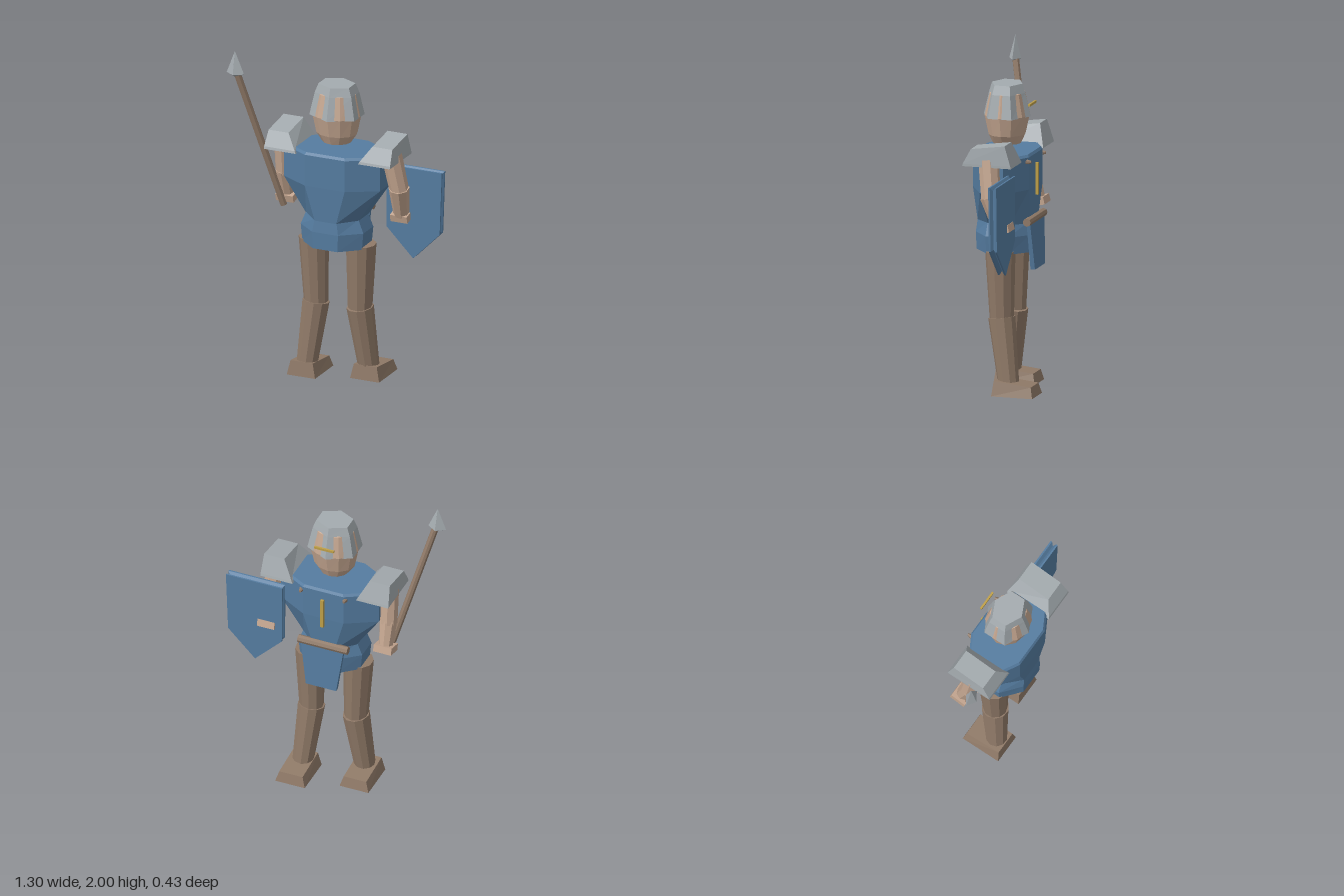
import * as THREE from 'three';

const mat = (name, color) => {
  const m = new THREE.MeshStandardMaterial({ color, flatShading: true });
  m.name = name;
  return m;
};

export function createModel() {
  const model = new THREE.Group();
  const skin = mat('skin', 0xc4a690);
  const leather = mat('leather', 0x907a68);
  const steel = mat('steel', 0xa4abaf);
  const blue = mat('blue cloth', 0x557ca0);
  const gold = mat('gold', 0xbfa048);

  const add = (name, geometry, material, x = 0, y = 0, z = 0) => {
    const mesh = new THREE.Mesh(geometry, material);
    mesh.name = name;
    mesh.position.set(x, y, z);
    model.add(mesh);
    return mesh;
  };

  // Closed flat-faced skin over rings of [x, y, z] points
  const loft = (rings) => {
    const pos = [];
    const tri = (...pts) => pts.forEach((p) => pos.push(...p));
    const n = rings[0].length;
    const centre = (ring) => [0, 1, 2].map((k) => ring.reduce((s, p) => s + p[k], 0) / n);
    const low = rings[0], high = rings[rings.length - 1];
    const cl = centre(low), ch = centre(high);
    for (let i = 0; i < n; i++) {
      const j = (i + 1) % n;
      for (let r = 0; r < rings.length - 1; r++) {
        const a = rings[r], b = rings[r + 1];
        tri(a[i], b[i], a[j]);
        tri(a[j], b[i], b[j]);
      }
      tri(cl, low[i], low[j]);
      tri(ch, high[j], high[i]);
    }
    const g = new THREE.BufferGeometry();
    g.setAttribute('position', new THREE.Float32BufferAttribute(pos, 3));
    g.computeVertexNormals();
    return g;
  };

  // Elliptical ring with n corners
  const oval = (n, y, rx, rz, cx, cz, turn = 0) =>
    Array.from({ length: n }, (_, i) => {
      const a = ((i + turn) / n) * Math.PI * 2;
      return [cx + Math.cos(a) * rx, y, cz + Math.sin(a) * rz];
    });

  // Rectangular ring; heights at the z0 and z1 sides may differ
  const rect = (x0, x1, z0, z1, y0, y1 = y0) => [[x0, y0, z0], [x1, y0, z0], [x1, y1, z1], [x0, y1, z1]];

  // Tapered rod between two points
  const limb = (name, a, b, ra, rb, sides, material) => {
    const from = new THREE.Vector3(...a), to = new THREE.Vector3(...b);
    const dir = to.clone().sub(from);
    const mesh = add(name, new THREE.CylinderGeometry(rb, ra, dir.length(), sides), material);
    mesh.position.copy(from).add(to).multiplyScalar(0.5);
    mesh.quaternion.setFromUnitVectors(new THREE.Vector3(0, 1, 0), dir.normalize());
    return mesh;
  };

  // Torso: octagonal chest and hips
  const k = 1 / Math.cos(Math.PI / 8);
  add('chest', loft([[1.02, 0.17, 0.165], [1.235, 0.315, 0.175], [1.43, 0.315, 0.175], [1.445, 0.3, 0.165]]
    .map(([y, rx, rz]) => oval(8, y, rx * k, rz * k, 0.005, 0.032, 0.5))), blue);
  add('hips', loft([[0.845, 0.195, 0.165], [0.95, 0.205, 0.168], [1.03, 0.172, 0.16]]
    .map(([y, rx, rz]) => oval(8, y, rx * k, rz * k, 0.005, 0.035, 0.5))), blue);
  add('chestBar', new THREE.BoxGeometry(0.02, 0.195, 0.016), gold, 0.007, 1.278, -0.152);
  for (const s of [-1, 1]) {
    limb('chestStud', [0.007 + s * 0.14, 1.405, -0.13], [0.007 + s * 0.14, 1.405, -0.16], 0.016, 0.008, 6, leather);
  }

  // Belt roll and hanging cloth
  limb('beltRoll', [-0.155, 1.04, -0.138], [0.165, 1.04, -0.138], 0.025, 0.025, 8, leather);
  add('loinCloth', loft([
    rect(-0.09, 0.105, -0.17, -0.142, 0.745),
    rect(-0.13, 0.145, -0.152, -0.13, 1.035),
  ]), blue);

  // Head and helmet, interlocking
  add('head', loft([[1.485, 0.09, 0.085], [1.54, 0.127, 0.11], [1.655, 0.15, 0.135], [1.79, 0.122, 0.104], [1.8, 0.1, 0.085]]
    .map(([y, rx, rz]) => oval(12, y, rx, rz, 0.005, 0.035))), skin);
  add('helmet', loft([[1.65, 0.17, 0.146], [1.79, 0.138, 0.112], [1.845, 0.115, 0.095]]
    .map(([y, rx, rz]) => oval(6, y, rx, rz, 0.005, 0.035, 0.5))), steel);
  add('visorSlit', new THREE.BoxGeometry(0.125, 0.014, 0.012), gold, 0.007, 1.73, -0.122);

  // Shoulder plates
  for (const s of [-1, 1]) {
    const c = 0.007;
    const span = (a, b) => (s > 0 ? [c + a, c + b] : [c - b, c - a]);
    add('shoulderPlate', loft([
      rect(...span(0.205, 0.412), -0.122, 0.182, 1.415),
      rect(...span(0.212, 0.412), -0.118, 0.178, 1.43),
      rect(...span(0.275, 0.405), -0.08, 0.13, 1.55, 1.52),
    ]), steel);
  }

  // Arms
  limb('rightUpperArm', [-0.352, 1.45, 0.03], [-0.355, 1.22, 0.0], 0.055, 0.054, 8, skin);
  limb('rightForearm', [-0.354, 1.24, 0.005], [-0.355, 1.06, -0.045], 0.055, 0.042, 8, skin);
  add('rightHand', new THREE.BoxGeometry(0.115, 0.045, 0.1), skin, -0.355, 1.062, -0.045).rotation.x = 0.25;
  limb('leftUpperArm', [0.362, 1.45, 0.035], [0.4, 1.225, 0.008], 0.062, 0.058, 8, skin);
  limb('leftForearm', [0.4, 1.24, 0.012], [0.388, 1.045, -0.05], 0.063, 0.048, 8, skin);
  add('leftHand', new THREE.BoxGeometry(0.11, 0.045, 0.11), skin, 0.388, 1.045, -0.06).rotation.x = 0.25;

  // Shield: pointed plate with a grooved rim
  const outline = [[0.285, 1.345], [0.648, 1.345], [0.634, 0.955], [0.46, 0.78], [0.288, 0.955]];
  add('shield', loft([[-0.105, 1], [-0.095, 1], [-0.08, 0.92], [-0.065, 1], [-0.055, 1]].map(([z, f]) =>
    outline.map(([x, y]) => [0.46 + (x - 0.46) * f, 1.1 + (y - 1.1) * f, z]))), blue);

  // Spear
  limb('spearShaft', [-0.36, 1.01, 0.0], [-0.588, 1.88, 0.178], 0.021, 0.021, 8, leather);
  add('spearHead', loft([
    oval(4, 1.845, 0.015, 0.012, -0.592, 0.18),
    oval(4, 1.862, 0.057, 0.037, -0.592, 0.18),
    oval(4, 2.0, 0.001, 0.001, -0.595, 0.18),
  ]), steel);

  // Legs and boots: [side, hip, knee, ankle, boot x range, boot heel z]
  const legs = [
    ['right', [-0.147, 0.86, 0.035], [-0.132, 0.45, 0.035], [-0.172, 0.07, 0.073], -0.27, -0.085, 0.15],
    ['left', [0.16, 0.86, 0.028], [0.15, 0.45, 0.022], [0.182, 0.07, -0.03], 0.095, 0.285, 0.045],
  ];
  for (const [side, hip, knee, ankle, x0, x1, heel] of legs) {
    limb(side + 'Thigh', hip, knee, 0.091, 0.073, 10, leather);
    limb(side + 'Shin', [knee[0], knee[1] + 0.005, knee[2]], ankle, 0.082, 0.064, 10, leather);
    const toe = heel - 0.255;
    add(side + 'Boot', loft([
      rect(x0, x1, toe, heel, 0),
      rect(x0 + 0.02, x1 - 0.02, toe + 0.015, heel - 0.01, 0.065, 0.09),
    ]), leather);
  }

  return model;
}
